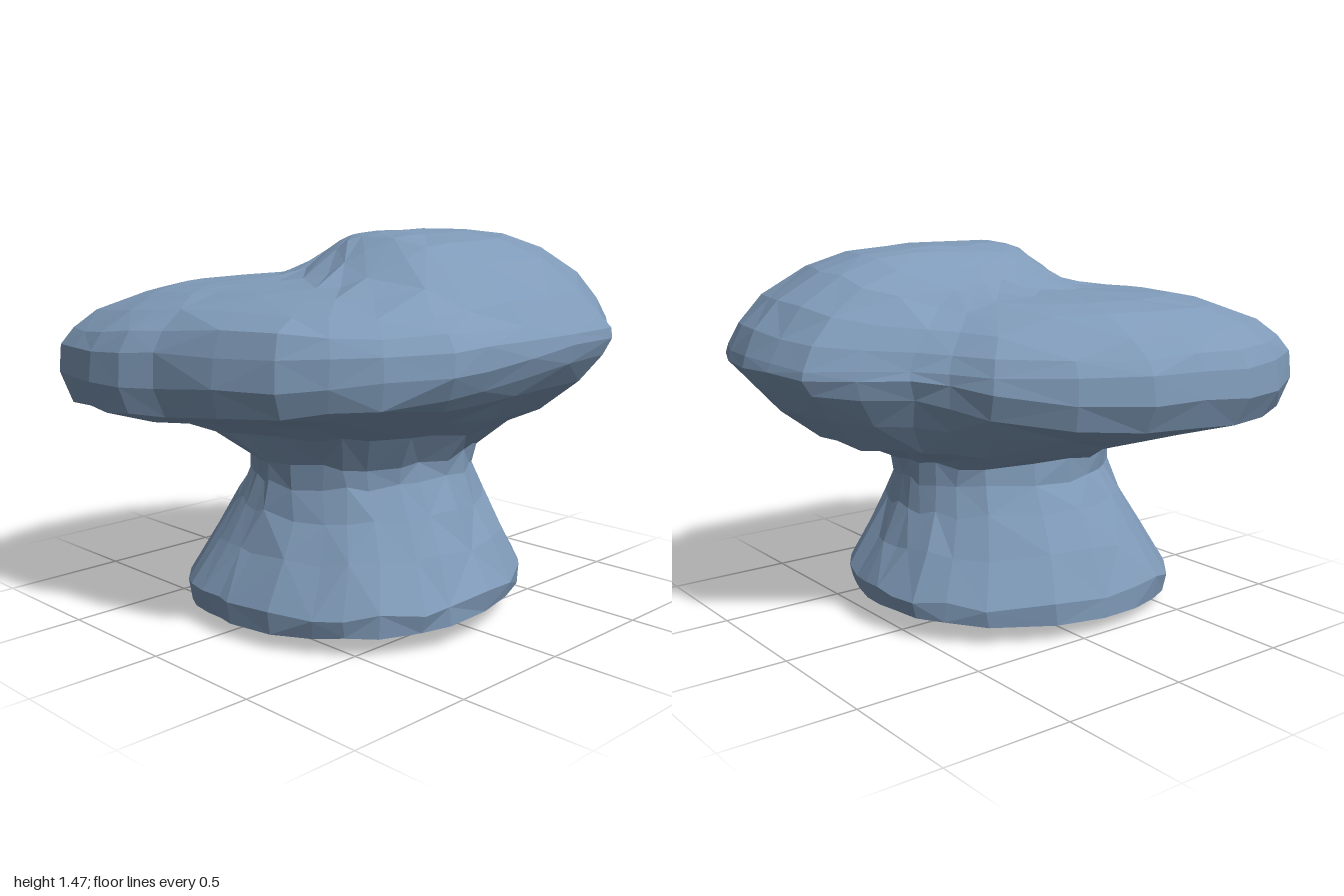
import * as THREE from 'three';

// Cap outline seen from above (x, z), clockwise from the back
const OUTLINE = [
  [0.25, -1], [0.42, -0.975], [0.56, -0.92], [0.7, -0.72], [0.82, -0.56], [0.835, -0.3],
  [0.835, -0.05], [0.84, 0.2], [0.82, 0.36], [0.7, 0.57], [0.58, 0.7], [0.44, 0.81],
  [0.2, 0.88], [-0.08, 0.92], [-0.2, 0.98], [-0.36, 0.995], [-0.52, 0.97], [-0.67, 0.93],
  [-0.8, 0.7], [-0.84, 0.5], [-0.825, 0.28], [-0.8, 0.05], [-0.68, -0.2], [-0.5, -0.43],
  [-0.35, -0.51], [-0.25, -0.61], [-0.16, -0.77], [-0.06, -0.93], [0.1, -0.975],
];
const N = OUTLINE.length;

let seed = 11;
function jitter(amount) {
  seed = (seed * 16807) % 2147483647;
  return (seed / 2147483647 - 0.5) * 2 * amount;
}

const ring = (f) => OUTLINE.map((p, j) => new THREE.Vector3(...f(p, j)));
const roughen = (points, xz, y) => points.map((p) =>
  p.set(p.x + jitter(xz), p.y + jitter(y), p.z + jitter(xz)));

// Oval stem section, with a foot that bulges at the front right
function stemPoint([x, z], rx, rz, bulge) {
  const a = Math.atan2(z, x);
  const k = 1 + bulge * Math.max(0, Math.cos(a - Math.PI * 0.75)) ** 6;
  return [0.11 + Math.cos(a) * rx * k, 0.065 + Math.sin(a) * rz * k];
}

// Height of the top: a low shelf with a long hump towards the back
function topHeight(x, z) {
  const dx = x - 0.25;
  const dz = z > 0 ? z / 0.3 : Math.min(0, z + 0.75) / 0.4;
  const d = Math.hypot(dx / (dx > 0 ? 0.47 : 0.37), dz);
  return 1.275 + 0.175 * Math.exp(-(d ** 4));
}

// Skin a stack of rings, optionally closing either end with a fan
function skin(rings, bottom, top) {
  const points = rings.flat();
  const index = [];
  for (let i = 0; i < rings.length - 1; i++) {
    for (let j = 0; j < N; j++) {
      const k = (j + 1) % N;
      const a = i * N + j, b = i * N + k, c = a + N, d = b + N;
      if ((i + j) % 2) index.push(a, c, d, a, d, b);
      else index.push(a, c, b, b, c, d);
    }
  }
  for (const [tip, base, up] of [[bottom, 0, false], [top, (rings.length - 1) * N, true]]) {
    if (!tip) continue;
    const t = points.push(tip) - 1;
    for (let j = 0; j < N; j++) {
      const a = base + j, b = base + (j + 1) % N;
      index.push(...(up ? [a, t, b] : [a, b, t]));
    }
  }
  const geometry = new THREE.BufferGeometry().setFromPoints(points);
  geometry.setIndex(index);
  const flat = geometry.toNonIndexed();
  flat.computeVertexNormals();
  return flat;
}

export function createModel() {
  const group = new THREE.Group();
  group.name = 'mushroomRock';
  const stone = new THREE.MeshStandardMaterial({ color: 0x7f9ab8, flatShading: true });
  stone.name = 'blue grey stone';

  // Stem: flared foot narrowing to the neck; the foot tilts slightly
  const stemRings = [
    [0, 0.46, 0.47, 0.1], [0.05, 0.595, 0.62, 0.12], [0.13, 0.608, 0.63, 0.12],
    [0.3, 0.53, 0.54, 0.08], [0.44, 0.455, 0.48, 0.04], [0.55, 0.4, 0.458, 0],
    [0.63, 0.405, 0.47, 0],
  ].map(([y, rx, rz, bulge]) => roughen(ring((p) => {
    const [x, z] = stemPoint(p, rx, rz, bulge);
    const tilt = (0.01 + 0.03 * x - 0.035 * z) * Math.max(0, 1 - y / 0.4);
    return [x, y + tilt, z];
  }), 0.008, y < 0.1 ? 0.005 : 0.015));
  const neck = stemRings[stemRings.length - 1];

  // Underside of the cap: spreads from neck to rim; each row is
  // spread, height, tilt towards the left and tilt towards the front
  const under = [
    [0.22, 0.715, 0.02, 0.025], [0.5, 0.76, 0.04, 0.03], [0.76, 0.83, 0.055, -0.02],
    [0.92, 0.895, 0.065, -0.06], [1, 0.98, 0.05, -0.045],
  ].map(([t, y, kx, kz]) => roughen(ring(([x, z], j) => {
    const r = Math.hypot(x, z);
    const p = neck[j];
    return [p.x + (x - p.x) * t, y + (kx * x + kz * z) / r, p.z + (z - p.z) * t];
  }), t === 1 ? 0.003 : 0.01, 0.01));

  // Top of the cap: rings drawn in from the rim over the humped surface,
  // rounder above the front
  const over = [
    [0.99, 0], [0.95, 0.25], [0.86, 0.53], [0.71, 0.8], [0.56, 0.93], [0.41, 0.98],
    [0.27, 1], [0.13, 1],
  ].map(([s, rise]) => roughen(ring(([x, z]) => {
    const rim = 1.055 + 0.04 * x;
    const h = topHeight(x * s, z * s);
    const front = z > 0 ? Math.exp(-(((x - 0.2) / 0.4) ** 2)) : 0;
    return [x * s, rim + (h - rim) * rise ** (1 - 0.4 * front), z * s];
  }), s > 0.9 ? 0.004 : 0.018 * s, 0.009 * s));

  const stem = new THREE.Mesh(skin(stemRings, new THREE.Vector3(0.1, 0.015, 0.06)), stone);
  stem.name = 'stem';
  const cap = new THREE.Mesh(
    skin([neck, ...under, ...over], null, new THREE.Vector3(0, topHeight(0, 0), 0)), stone);
  cap.name = 'cap';
  group.add(stem, cap);

  // Rest the foot on the ground
  const low = new THREE.Box3().setFromObject(group).min.y;
  for (const mesh of group.children) mesh.geometry.translate(0, -low, 0);
  return group;
}
